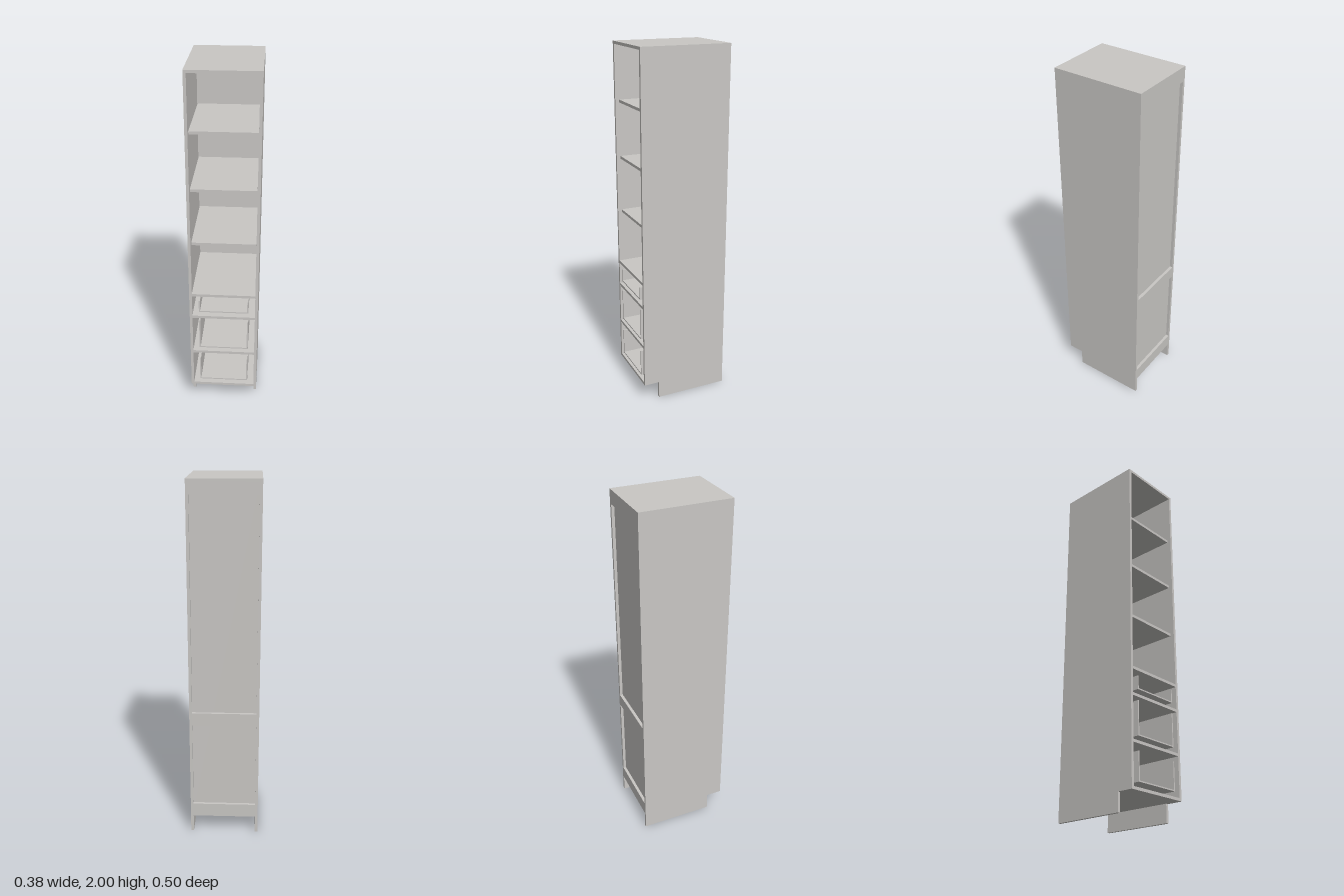
import * as THREE from 'three';

const HALF_W = 0.1925, HALF_D = 0.2525, BOARD = 0.0155;
const INNER = HALF_W - BOARD;          // half width between the side panels
const PANEL_FRONT = -HALF_D + 0.032;   // front face of the recessed back panel

export function createModel() {
  const cabinet = new THREE.Group();
  cabinet.name = 'tallCabinet';
  const paint = new THREE.MeshStandardMaterial({ color: 0xc9c7c4 });
  paint.name = 'light warm grey';

  // Box given by its limits on each axis
  const board = (name, [x0, x1], [y0, y1], [z0, z1], parent = cabinet) => {
    const mesh = new THREE.Mesh(new THREE.BoxGeometry(x1 - x0, y1 - y0, z1 - z0), paint);
    mesh.position.set((x0 + x1) / 2, (y0 + y1) / 2, (z0 + z1) / 2);
    mesh.name = name;
    parent.add(mesh);
  };

  // Side panels with the toe-kick notch; outline is drawn in (-z, y)
  const outline = new THREE.Shape([
    [-HALF_D, 0.1], [-0.163, 0.1], [-0.163, 0], [HALF_D, 0], [HALF_D, 2], [-HALF_D, 2],
  ].map(([u, v]) => new THREE.Vector2(u, v)));
  const sideGeometry = new THREE.ExtrudeGeometry(outline, { depth: BOARD, bevelEnabled: false });
  sideGeometry.rotateY(Math.PI / 2);
  for (const [name, x] of [['leftSide', INNER], ['rightSide', -HALF_W]]) {
    const side = new THREE.Mesh(sideGeometry, paint);
    side.position.x = x;
    side.name = name;
    cabinet.add(side);
  }

  // Top and bottom boards run the full depth
  const across = [-INNER, INNER];
  board('topBoard', across, [2 - BOARD, 2], [-HALF_D, HALF_D]);
  board('bottomBoard', across, [0.1, 0.1 + BOARD], [-HALF_D, HALF_D]);

  // Fixed dividers above each drawer bay
  for (const y of [0.74, 0.595, 0.35]) {
    board('divider', across, [y - BOARD, y], [PANEL_FRONT, HALF_D]);
  }

  // Loose shelves, slightly narrower and set back
  for (const y of [1.687, 1.371, 1.056]) {
    board('shelf', [-INNER + 0.002, INNER - 0.002], [y - BOARD, y], [PANEL_FRONT, HALF_D - 0.022]);
  }

  // Back panel, recessed behind three rails
  board('backPanel', across, [0.1 + BOARD, 2 - BOARD], [PANEL_FRONT - BOARD, PANEL_FRONT]);
  for (const [y0, y1] of [[0.1 + BOARD, 0.178], [0.672, 0.744], [1.922, 2 - BOARD]]) {
    board('backRail', across, [y0, y1], [-HALF_D, PANEL_FRONT - BOARD]);
  }

  // Drawer trays with open fronts
  const w = 0.14, t = 0.007, back = PANEL_FRONT + 0.02;
  for (const [y0, y1] of [[0.622, 0.697], [0.375, 0.562], [0.143, 0.298]]) {
    const drawer = new THREE.Group();
    drawer.name = 'drawer';
    board('drawerBottom', [-w + t, w - t], [y0, y0 + t], [back, HALF_D], drawer);
    board('drawerLeftWall', [w - t, w], [y0, y1], [back, HALF_D], drawer);
    board('drawerRightWall', [-w, -w + t], [y0, y1], [back, HALF_D], drawer);
    board('drawerBackWall', [-w + t, w - t], [y0 + t, y1], [back, back + t], drawer);
    cabinet.add(drawer);
  }
  return cabinet;
}
